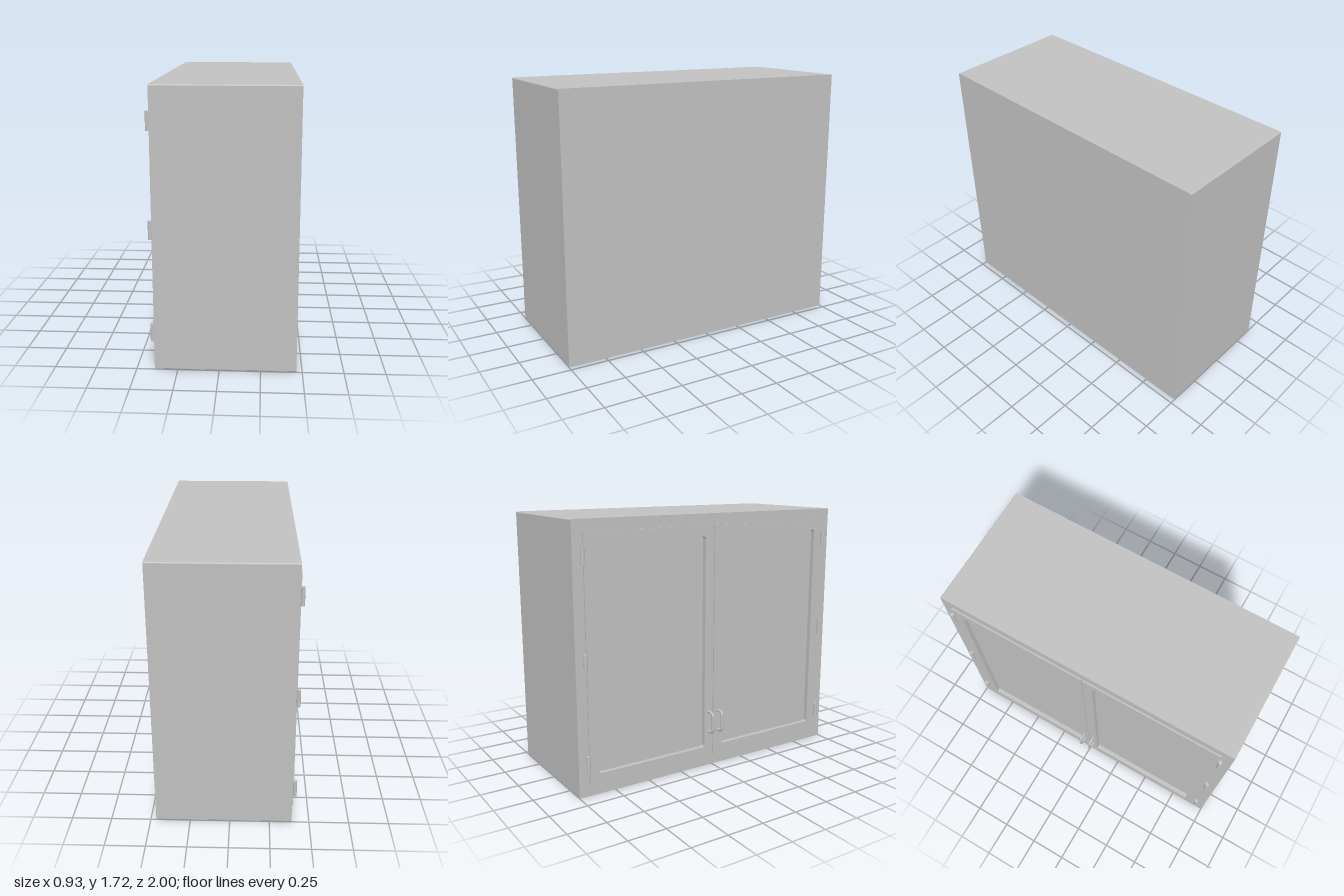
import * as THREE from 'three';

const steel = new THREE.MeshStandardMaterial({ color: 0xc0c0c0 });
steel.name = 'grey steel';

// Rounded rectangle in the (z, y) plane
function roundedRect(target, z0, z1, y0, y1, r) {
  target.moveTo(z0 + r, y0);
  target.lineTo(z1 - r, y0);
  target.absarc(z1 - r, y0 + r, r, -Math.PI / 2, 0);
  target.lineTo(z1, y1 - r);
  target.absarc(z1 - r, y1 - r, r, 0, Math.PI / 2);
  target.lineTo(z0 + r, y1);
  target.absarc(z0 + r, y1 - r, r, Math.PI / 2, Math.PI);
  target.lineTo(z0, y0 + r);
  target.absarc(z0 + r, y0 + r, r, Math.PI, Math.PI * 1.5);
  return target;
}

// Slab extruded along -x, from xBack to xFront
function slab(name, rect, r, xBack, xFront, holes = []) {
  const shape = roundedRect(new THREE.Shape(), ...rect, r);
  for (const h of holes) shape.holes.push(roundedRect(new THREE.Path(), ...h, 0.015));
  const geo = new THREE.ExtrudeGeometry(shape, { depth: xBack - xFront, bevelEnabled: false, curveSegments: 5 });
  geo.rotateY(-Math.PI / 2);
  geo.translate(xBack, 0, 0);
  const mesh = new THREE.Mesh(geo, steel);
  mesh.name = name;
  return mesh;
}

function hinge(side, y) {
  const group = new THREE.Group();
  group.name = 'hinge';
  const knuckle = new THREE.Mesh(new THREE.CylinderGeometry(0.012, 0.012, 0.113, 16), steel);
  knuckle.name = 'hingeKnuckle';
  knuckle.position.set(-0.408, y, side * 0.941);
  const leaf = new THREE.Mesh(new THREE.BoxGeometry(0.026, 0.108, 0.014), steel);
  leaf.name = 'hingeLeaf';
  leaf.position.set(-0.397, y, side * 0.934);
  group.add(knuckle, leaf);
  return group;
}

// Bent-rod pull with rounded corners
function handle(side) {
  const z = side * 0.037, x0 = -0.395, x1 = -0.455, y0 = 0.25, y1 = 0.388, r = 0.03;
  const v = (x, y) => new THREE.Vector3(x, y, z);
  const path = new THREE.CurvePath();
  path.add(new THREE.LineCurve3(v(x0, y0), v(x1 + r, y0)));
  path.add(new THREE.QuadraticBezierCurve3(v(x1 + r, y0), v(x1, y0), v(x1, y0 + r)));
  path.add(new THREE.LineCurve3(v(x1, y0 + r), v(x1, y1 - r)));
  path.add(new THREE.QuadraticBezierCurve3(v(x1, y1 - r), v(x1, y1), v(x1 + r, y1)));
  path.add(new THREE.LineCurve3(v(x1 + r, y1), v(x0, y1)));
  const mesh = new THREE.Mesh(new THREE.TubeGeometry(path, 48, 0.01, 12), steel);
  mesh.name = 'handle';
  return mesh;
}

export function createModel() {
  const model = new THREE.Group();
  model.name = 'wallCabinet';
  const outer = [-1, 1, 0, 1.715];
  const opening = (s) => {
    const z = [s * 0.07, s * 0.865].sort((a, b) => a - b);
    return [...z, 0.14, 1.57];
  };

  // Carcass and the face frame around the two recesses
  model.add(slab('carcass', outer, 0.008, 0.465, -0.36));
  model.add(slab('faceFrame', outer, 0.008, -0.36, -0.39, [opening(-1), opening(1)]));

  // Two mirrored doors with recessed panels, hinges and pulls
  for (const s of [-1, 1]) {
    const door = new THREE.Group();
    door.name = s > 0 ? 'leftDoor' : 'rightDoor';
    const z = [s * 0.003, s * 0.93].sort((a, b) => a - b);
    door.add(slab('doorFrame', [...z, 0.075, 1.64], 0.003, -0.39, -0.4, [opening(s)]));
    door.add(slab('doorPanel', opening(s), 0.015, -0.36, -0.37));
    for (const y of [0.215, 0.86, 1.505]) door.add(hinge(s, y));
    door.add(handle(s));
    model.add(door);
  }
  return model;
}
